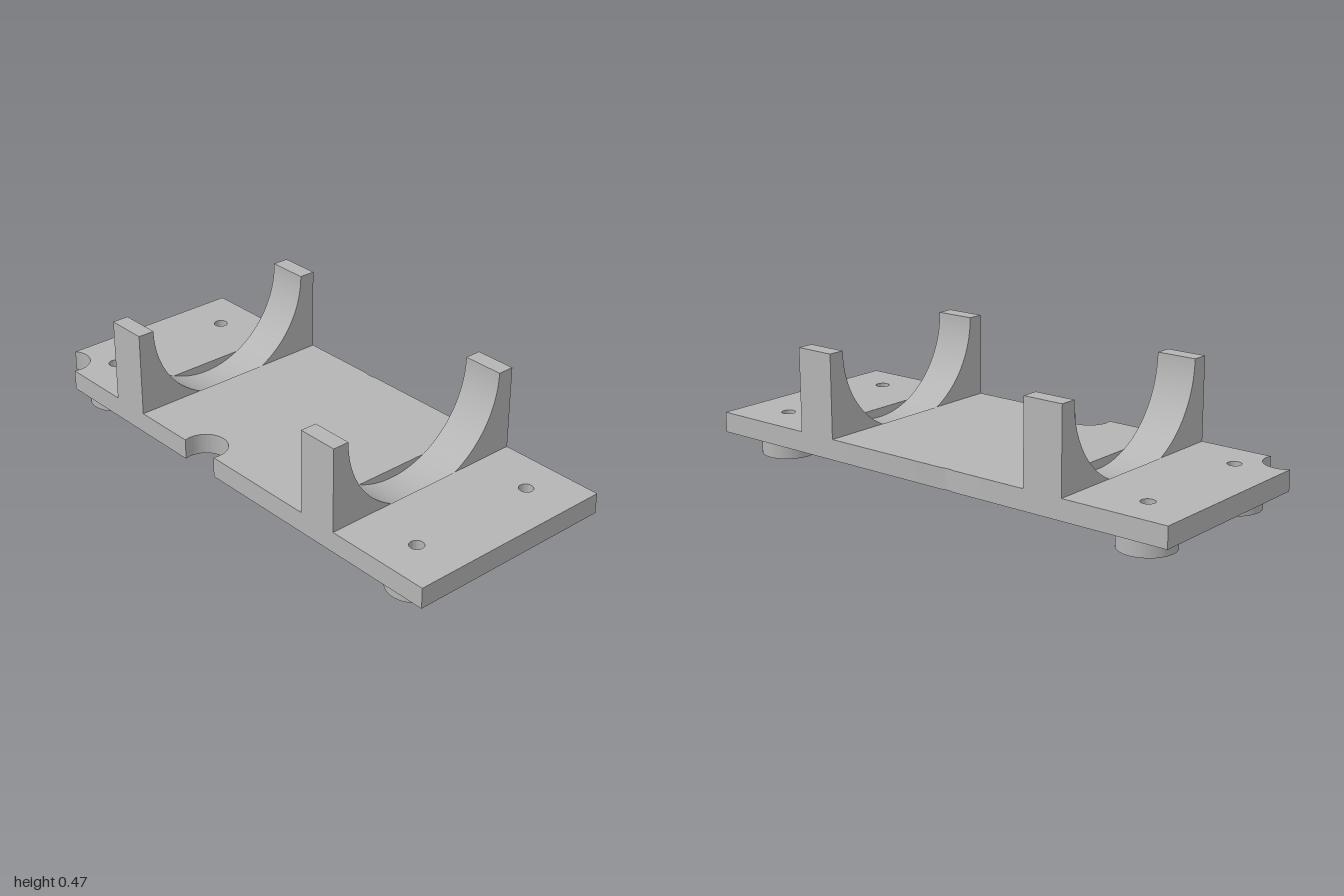
import * as THREE from 'three';
import { toCreasedNormals } from 'three/addons/utils/BufferGeometryUtils.js';

const D = 0.41;                                // half depth of the plate
const BOTTOM = 0.077, TOP = 0.154, SEAT = 0.115, HEIGHT = 0.467;
const IN = 0.435, OUT = 0.591;                 // bracket sides in x
const FOOT_X = 0.82, FOOT_Z = 0.257, BORE = 0.026;
const CUT = 0.083;                             // radius of the edge notches

const extrude = (shape, depth) => toCreasedNormals(
  new THREE.ExtrudeGeometry(shape, { depth, bevelEnabled: false, curveSegments: 40 }), 0.5);

// Plan outline (x, -z) raised from y0 to y1
const slab = (shape, y0, y1) => extrude(shape, y1 - y0).rotateX(-Math.PI / 2).translate(0, y0, 0);

const polygon = (points) => new THREE.Shape(points.map(([x, y]) => new THREE.Vector2(x, y)));
const rect = (x0, x1, y0, y1) => polygon([[x0, y0], [x1, y0], [x1, y1], [x0, y1]]);

function drill(shape, x, y) {
  shape.holes.push(new THREE.Path().absarc(x, y, BORE, 0, Math.PI * 2, true));
  return shape;
}

export function createModel() {
  const model = new THREE.Group();
  model.name = 'cradleStand';
  const grey = new THREE.MeshStandardMaterial({ color: 0xb4b4b4 });
  grey.name = 'grey';
  const add = (name, geometry) => {
    const mesh = new THREE.Mesh(geometry, grey);
    mesh.name = name;
    model.add(mesh);
  };

  // Right end of the plate, with its front corner bitten out
  const rightEnd = new THREE.Shape();
  rightEnd.moveTo(-1, D);
  rightEnd.lineTo(-1, -0.319);
  rightEnd.absarc(-0.95, -0.385, CUT, 2.219, -0.306, true);
  rightEnd.lineTo(-OUT, -D);
  rightEnd.lineTo(-OUT, D);

  // Left end of the plate
  const leftEnd = rect(OUT, 1, -D, D);
  for (const s of [-1, 1]) {
    drill(rightEnd, -FOOT_X, s * FOOT_Z);
    drill(leftEnd, FOOT_X, s * FOOT_Z);
  }
  add('plateRightEnd', slab(rightEnd, BOTTOM, TOP));
  add('plateLeftEnd', slab(leftEnd, BOTTOM, TOP));

  // Middle of the plate, with a front notch and a shallow back nick
  const middle = new THREE.Shape();
  middle.moveTo(-IN, D);
  middle.lineTo(-IN, -D);
  middle.absarc(-0.107, -0.385, CUT, Math.PI + 0.306, -0.306, true);
  middle.lineTo(IN, -D);
  middle.lineTo(IN, D);
  middle.absarc(-0.107, D + 0.079, CUT, -1.264, -1.878, true);
  add('plateMiddle', slab(middle, BOTTOM, TOP));

  // Cradle profile: two horns joined by a round seat sunk into the plate
  const profile = new THREE.Shape();
  profile.moveTo(-D, SEAT);
  profile.lineTo(D, SEAT);
  profile.lineTo(D, HEIGHT);
  profile.absarc(0, HEIGHT, 0.347, 0, -Math.PI, true);
  profile.lineTo(-D, HEIGHT);
  const cradle = extrude(profile, OUT - IN).rotateY(Math.PI / 2);

  for (const side of [-1, 1]) {
    const label = side > 0 ? 'left' : 'right';
    const cx = side * (IN + OUT) / 2, half = (OUT - IN) / 2;
    add(label + 'Cradle', cradle.clone().translate(cx - half, 0, 0));

    // Plate under the cradle, with two small slots from below
    const base = rect(cx - half, cx + half, -D, D);
    for (const s of [-1, 1]) {
      base.holes.push(rect(cx - 0.039, cx + 0.039, s * 0.36 - 0.026, s * 0.36 + 0.026));
    }
    add(label + 'CradleBase', slab(base, BOTTOM, SEAT));

    // Round feet with bored centres
    for (const s of [-1, 1]) {
      const ring = new THREE.Shape().absarc(side * FOOT_X, s * FOOT_Z, 0.1025, 0, Math.PI * 2);
      drill(ring, side * FOOT_X, s * FOOT_Z);
      add(label + (s > 0 ? 'Back' : 'Front') + 'Foot', slab(ring, 0, BOTTOM));
    }
  }
  return model;
}
